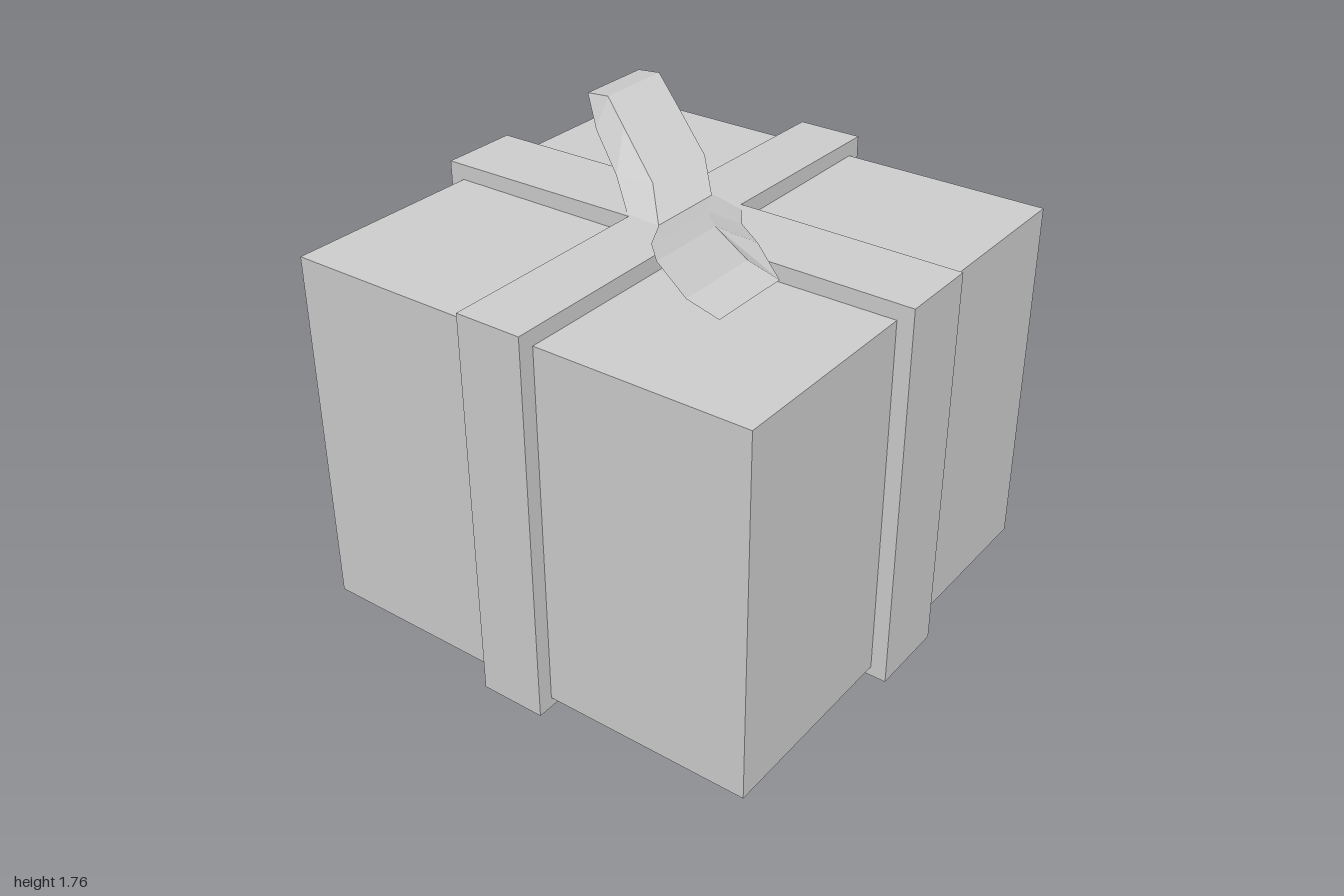
import * as THREE from 'three';

const material = new THREE.MeshStandardMaterial({ color: 0xcccccc, flatShading: true });

function addMesh(parent, name, geometry) {
  const mesh = new THREE.Mesh(geometry, material);
  mesh.name = name;
  parent.add(mesh);
  return mesh;
}

// Rectangular ribbon loop wrapped around the box, with a slightly raised top
function bandGeometry(width) {
  const loop = new THREE.Shape([[-1, 0], [1, 0], [1, 1.53], [0.2, 1.535], [-0.2, 1.535], [-1, 1.53]]
    .map(([x, y]) => new THREE.Vector2(x, y)));
  loop.holes.push(new THREE.Path([[-0.93, 0.05], [-0.93, 1.46], [0.93, 1.46], [0.93, 0.05]]
    .map(([x, y]) => new THREE.Vector2(x, y))));
  return new THREE.ExtrudeGeometry(loop, { depth: width, bevelEnabled: false });
}

// Bow tail lofted through slanted four-cornered sections.
// Each row: upper x, y, z then lower x, y, z of the edge on the -x side.
function tailGeometry(rows, width, flip) {
  const sections = rows.map(([ux, uy, uz, lx, ly, lz]) => [
    [ux, uy, uz], [ux + width, uy, uz], [lx + width, ly, lz], [lx, ly, lz],
  ]);
  const positions = [];
  const quad = (a, b, c, d) => {
    const corners = flip ? [a, c, b, a, d, c] : [a, b, c, a, c, d];
    corners.forEach((p) => positions.push(...p));
  };
  for (let i = 0; i < sections.length - 1; i++) {
    const s = sections[i], t = sections[i + 1];
    for (let k = 0; k < 4; k++) {
      const n = (k + 1) % 4;
      quad(s[k], t[k], t[n], s[n]);
    }
  }
  // End caps
  const first = sections[0], last = sections[sections.length - 1];
  quad(first[0], first[1], first[2], first[3]);
  quad(last[3], last[2], last[1], last[0]);
  const geometry = new THREE.BufferGeometry();
  geometry.setAttribute('position', new THREE.Float32BufferAttribute(positions, 3));
  geometry.computeVertexNormals();
  return geometry;
}

export function createModel() {
  const gift = new THREE.Group();
  gift.name = 'giftBox';

  // Box
  addMesh(gift, 'box', new THREE.BoxGeometry(1.876, 1.43, 1.876)).position.y = 0.755;

  // Crossing ribbon bands
  const ribbon = new THREE.Group();
  ribbon.name = 'ribbon';
  gift.add(ribbon);
  addMesh(ribbon, 'sideBand', bandGeometry(0.26)).position.z = -0.147;
  const frontBand = addMesh(ribbon, 'frontBand', bandGeometry(0.318));
  frontBand.rotation.y = Math.PI / 2;
  frontBand.position.x = -0.122;

  // Bow tails
  const bow = new THREE.Group();
  bow.name = 'bow';
  gift.add(bow);
  addMesh(bow, 'frontTail', tailGeometry([
    [-0.12, 1.537, -0.015, -0.14, 1.53, 0.125],
    [-0.34, 1.59, 0.12, -0.34, 1.582, 0.265],
    [-0.54, 1.657, 0.295, -0.54, 1.645, 0.465],
    [-0.77, 1.71, 0.58, -0.75, 1.665, 0.687],
  ], 0.32, false));
  addMesh(bow, 'backTail', tailGeometry([
    [-0.122, 1.537, -0.015, -0.12, 1.53, -0.15],
    [0.04, 1.6, -0.163, 0.035, 1.59, -0.325],
    [0.17, 1.717, -0.395, 0.17, 1.675, -0.525],
    [0.28, 1.765, -0.555, 0.325, 1.735, -0.69],
  ], 0.317, true));

  return gift;
}
